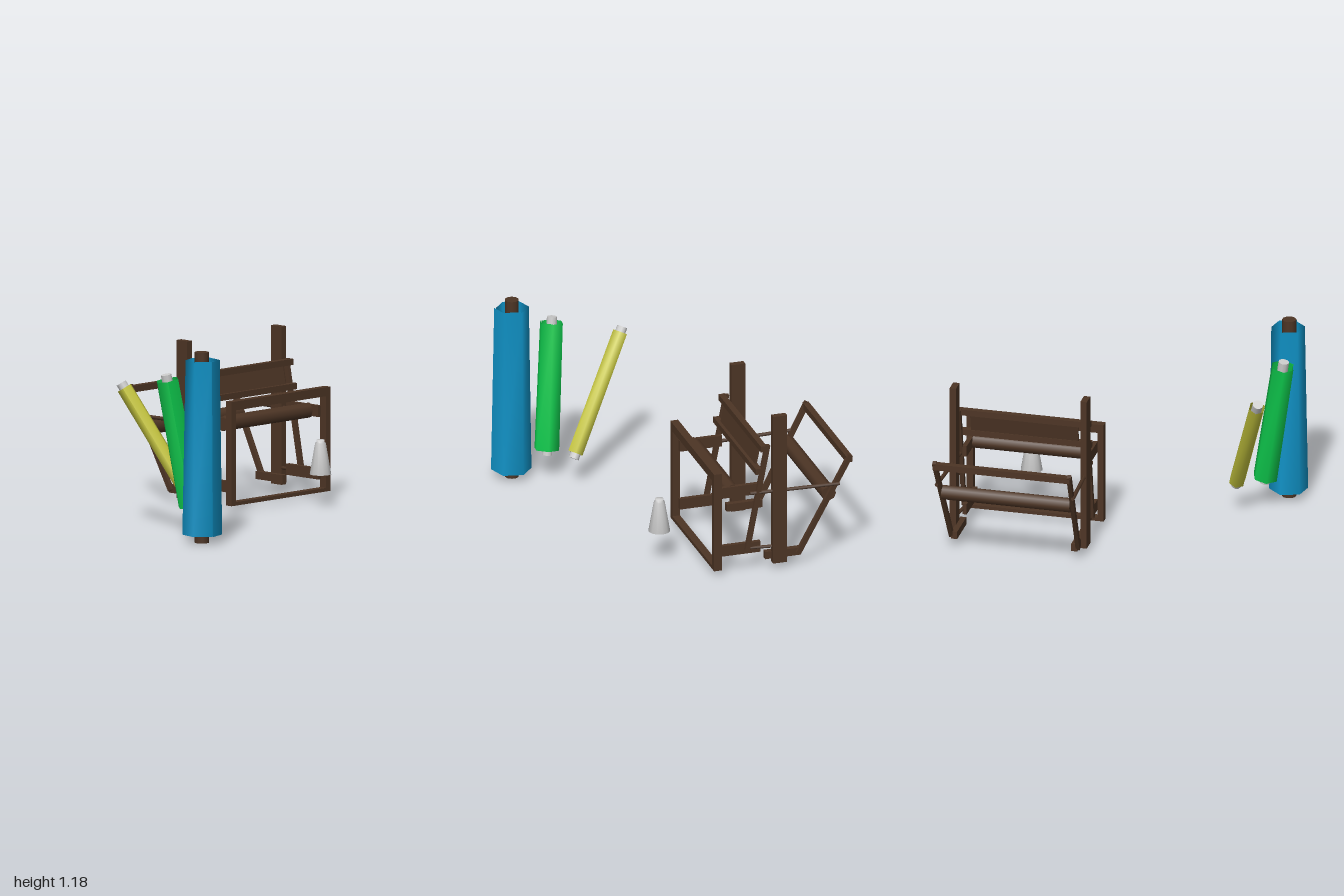
import * as THREE from 'three';

const V = (x, y, z) => new THREE.Vector3(x, y, z);
const UP = V(0, 1, 0);

export function createModel() {
  const model = new THREE.Group();
  model.name = 'loomAndClothRolls';
  const mat = (name, color, side = THREE.FrontSide) => {
    const m = new THREE.MeshStandardMaterial({ color, side });
    m.name = name;
    return m;
  };
  const wood = mat('dark wood', 0x4d3525);
  const pale = mat('pale grey', 0xcdcdcd);
  const blue = mat('blue cloth', 0x1092c6, THREE.DoubleSide);
  const green = mat('green cloth', 0x0ec84c, THREE.DoubleSide);
  const yellow = mat('yellow cloth', 0xc6c63e, THREE.DoubleSide);

  const add = (parent, name, geo, material) => {
    const m = new THREE.Mesh(geo, material);
    m.name = name;
    parent.add(m);
    return m;
  };

  // ---- Loom: x is measured from its own middle plane ----
  const loom = new THREE.Group();
  loom.name = 'loom';
  loom.position.x = 0.5535;
  model.add(loom);

  // box from its lower and upper limits
  const block = (name, x0, x1, y0, y1, z0, z1) => {
    const m = add(loom, name, new THREE.BoxGeometry(x1 - x0, y1 - y0, z1 - z0), wood);
    m.position.set((x0 + x1) / 2, (y0 + y1) / 2, (z0 + z1) / 2);
    return m;
  };
  // square bar or round rod running between two points
  const span = (name, a, b, geo) => {
    const d = b.clone().sub(a);
    const m = add(loom, name, geo(d.length()), wood);
    m.position.copy(a).add(b).multiplyScalar(0.5);
    m.quaternion.setFromUnitVectors(UP, d.normalize());
    return m;
  };
  const bar = (w, d) => (l) => new THREE.BoxGeometry(w, l, d);
  const rod = (r, n) => (l) => new THREE.CylinderGeometry(r, r, l, n);

  // crosswise members
  block('frontTopBar', -0.433, 0.433, 0.63, 0.685, -0.01, 0.04);
  block('frontBottomBar', -0.433, 0.433, 0.04, 0.062, -0.01, 0.04);
  span('clothBeam', V(-0.38, 0.532, -0.092), V(0.38, 0.532, -0.092), rod(0.047, 8));
  span('warpBeam', V(-0.405, 0.447, -0.707), V(0.405, 0.447, -0.707), rod(0.047, 8));
  block('beaterTopBar', -0.42, 0.42, 0.788, 0.826, -0.303, -0.265);
  block('beaterLowerBar', -0.42, 0.42, 0.642, 0.68, -0.27, -0.232);
  const reed = block('reed', -0.34, 0.34, 0.66, 0.81, -0.276, -0.264);
  reed.rotation.x = -0.2;
  span('rearTopBar', V(-0.433, 0.672, -0.83), V(0.433, 0.672, -0.83), bar(0.04, 0.04));

  // paired side members
  for (const s of [-1, 1]) {
    const side = (name, xi, xo, ...r) =>
      block(name, Math.min(s * xi, s * xo), Math.max(s * xi, s * xo), ...r);
    side('frontPost', 0.393, 0.433, 0.04, 0.685, -0.01, 0.04);
    side('mainPost', 0.393, 0.433, 0.04, 1.02, -0.43, -0.34);
    side('upperRail', 0.365, 0.393, 0.5, 0.57, -0.272, 0);
    side('lowerRail', 0.365, 0.393, 0.113, 0.182, -0.272, 0);
    side('foot', 0.36, 0.398, 0.06, 0.108, -0.53, -0.3);
    span('beaterArm', V(s * 0.405, 0.14, -0.18), V(s * 0.405, 0.826, -0.312), bar(0.026, 0.03));
    span('rearArm', V(s * 0.4, 0.075, -0.51), V(s * 0.425, 0.695, -0.838), bar(0.025, 0.032));
    span('upperRod', V(s * 0.405, 0.517, -0.2), V(s * 0.43, 0.517, -0.768), rod(0.012, 6));
    span('lowerRod', V(s * 0.385, 0.145, -0.2), V(s * 0.405, 0.145, -0.36), rod(0.011, 6));
  }

  // ---- Cloth rolls: a core with one loose spiral wrap of flat turns ----
  const wrap = (y0, y1, r, topScale, topShift, turn) => {
    const pos = [], idx = [], steps = 8;
    for (let i = 0; i <= steps; i++) {
      const a = turn + (i * Math.PI) / 3;
      const k = r * (0.88 + (0.15 * i) / steps);
      for (const [y, f, dx] of [[y0, 1, 0], [y1, topScale, topShift]])
        pos.push(k * f * Math.cos(a) + dx, y, k * f * Math.sin(a));
      if (i < steps) {
        const b = i * 2;
        idx.push(b, b + 1, b + 2, b + 2, b + 1, b + 3);
      }
    }
    const g = new THREE.BufferGeometry();
    g.setAttribute('position', new THREE.Float32BufferAttribute(pos, 3));
    g.setIndex(idx);
    g.computeVertexNormals();
    return g;
  };
  const roll = (name, a, b, coreR, coreMat, clothMat, margin, ...shape) => {
    const g = new THREE.Group();
    g.name = name;
    const d = b.clone().sub(a), len = d.length();
    g.position.copy(a);
    g.quaternion.setFromUnitVectors(UP, d.normalize());
    add(g, 'core', new THREE.CylinderGeometry(coreR, coreR, len, 10), coreMat).position.y = len / 2;
    add(g, 'cloth', wrap(margin, len - margin, ...shape), clothMat);
    model.add(g);
  };
  roll('blueRoll', V(-0.86, 0, 0.74), V(-0.86, 1.18, 0.74), 0.044, wood, blue, 0.05,
    0.124, 0.86, 0.004, -0.3);
  roll('greenRoll', V(-0.755, 0.16, 0.548), V(-0.895, 1.015, 0.47), 0.033, pale, green, 0.035,
    0.082, 0.92, 0, 0.2);
  roll('yellowRoll', V(-0.605, 0.18, 0.425), V(-0.842, 0.91, 0.035), 0.033, pale, yellow, 0.035,
    0.053, 0.97, 0, 0.4);

  // ---- Thread cone ----
  const profile = [[0, 0.2], [0.03, 0.2], [0.03, 0.207], [0.068, 0.207], [0.034, 0.4],
    [0.026, 0.405], [0.026, 0.42], [0, 0.42]].map(([x, y]) => new THREE.Vector2(x, y));
  const cone = add(model, 'threadCone', new THREE.LatheGeometry(profile, 12), pale);
  cone.position.set(0.65, 0, 0.283);

  return model;
}
